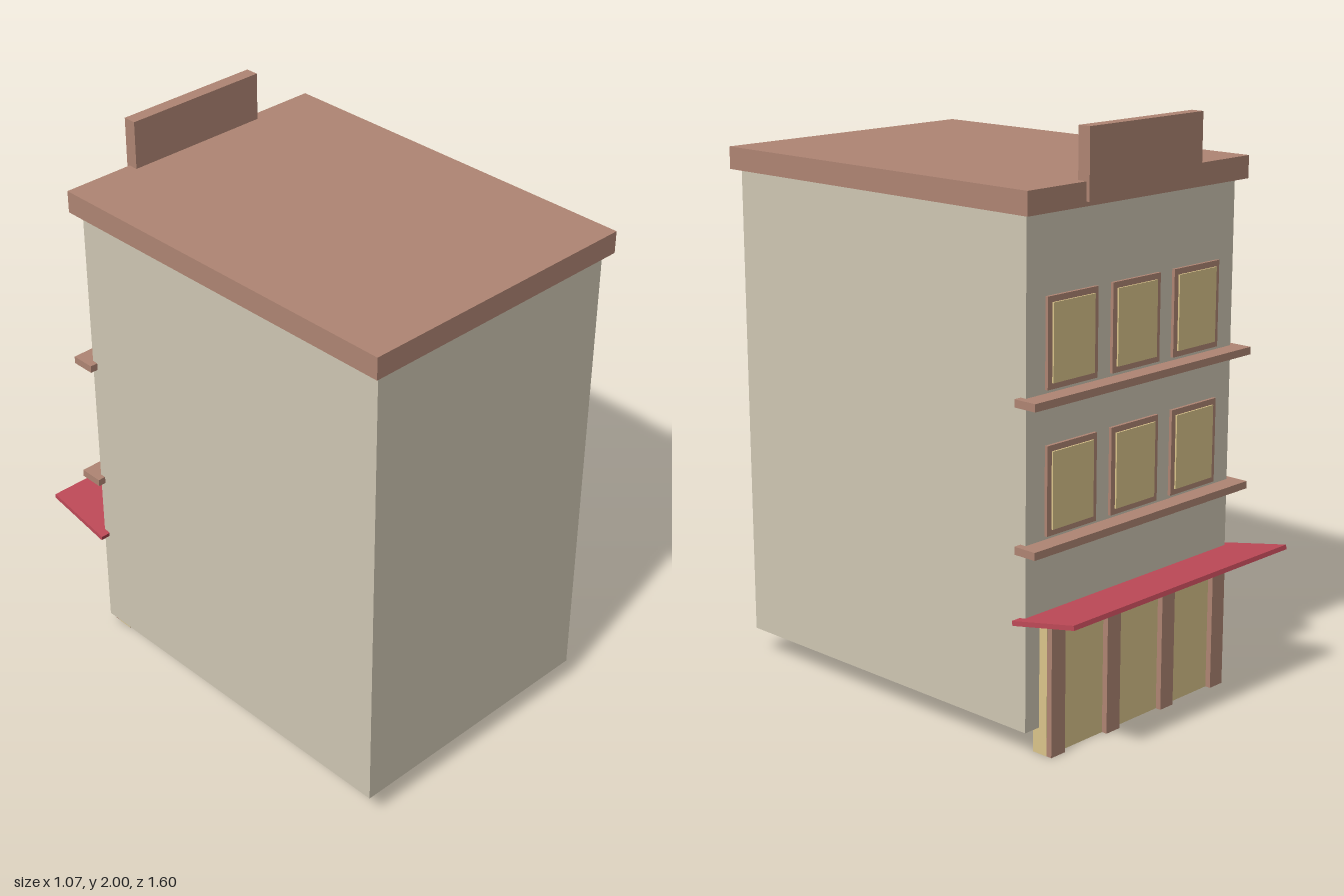
import * as THREE from 'three';

const material = (color) => new THREE.MeshStandardMaterial({ color });

export function createModel() {
  const group = new THREE.Group();
  const wall = material(0xd0c8b4);
  const trim = material(0xb08674);
  const glass = material(0xdcc68c);
  const red = material(0xc04a58);

  // Box given by its ranges along x, y and z
  function block(name, mat, [x0, x1], [y0, y1], [z0, z1]) {
    const mesh = new THREE.Mesh(new THREE.BoxGeometry(x1 - x0, y1 - y0, z1 - z0), mat);
    mesh.position.set((x0 + x1) / 2, (y0 + y1) / 2, (z0 + z1) / 2);
    mesh.name = name;
    group.add(mesh);
    return mesh;
  }

  // Main body, roof slab and parapet board
  block('body', wall, [-0.5, 0.5], [0.09, 1.76], [-0.562, 0.778]);
  block('roof', trim, [-0.53, 0.53], [1.755, 1.832], [-0.595, 0.803]);
  block('parapetBoard', trim, [-0.27, 0.27], [1.77, 2], [-0.607, -0.56]);

  // Two upper floors: a ledge and three framed windows each
  for (const y of [0.69, 1.162]) {
    block('ledge', trim, [-0.528, 0.528], [y, y + 0.026], [-0.627, -0.54]);
    for (const x of [-0.3, 0, 0.3]) {
      block('windowFrame', trim, [x - 0.115, x + 0.115], [y + 0.038, y + 0.332], [-0.573, -0.55]);
      block('windowPane', glass, [x - 0.095, x + 0.095], [y + 0.058, y + 0.312], [-0.579, -0.55]);
    }
  }

  // Shopfront glazing with four pillars
  block('shopGlazing', glass, [-0.436, 0.436], [0, 0.44], [-0.595, -0.535]);
  for (const x of [-0.403, -0.137, 0.137, 0.403]) {
    block('pillar', trim, [x - 0.032, x + 0.032], [0, 0.467], [-0.615, -0.534]);
  }

  // Awning tilted up towards the street
  const awning = block('awning', red, [-0.535, 0.535], [0.483, 0.499], [-0.801, -0.535]);
  awning.rotation.x = 0.2;

  return group;
}
